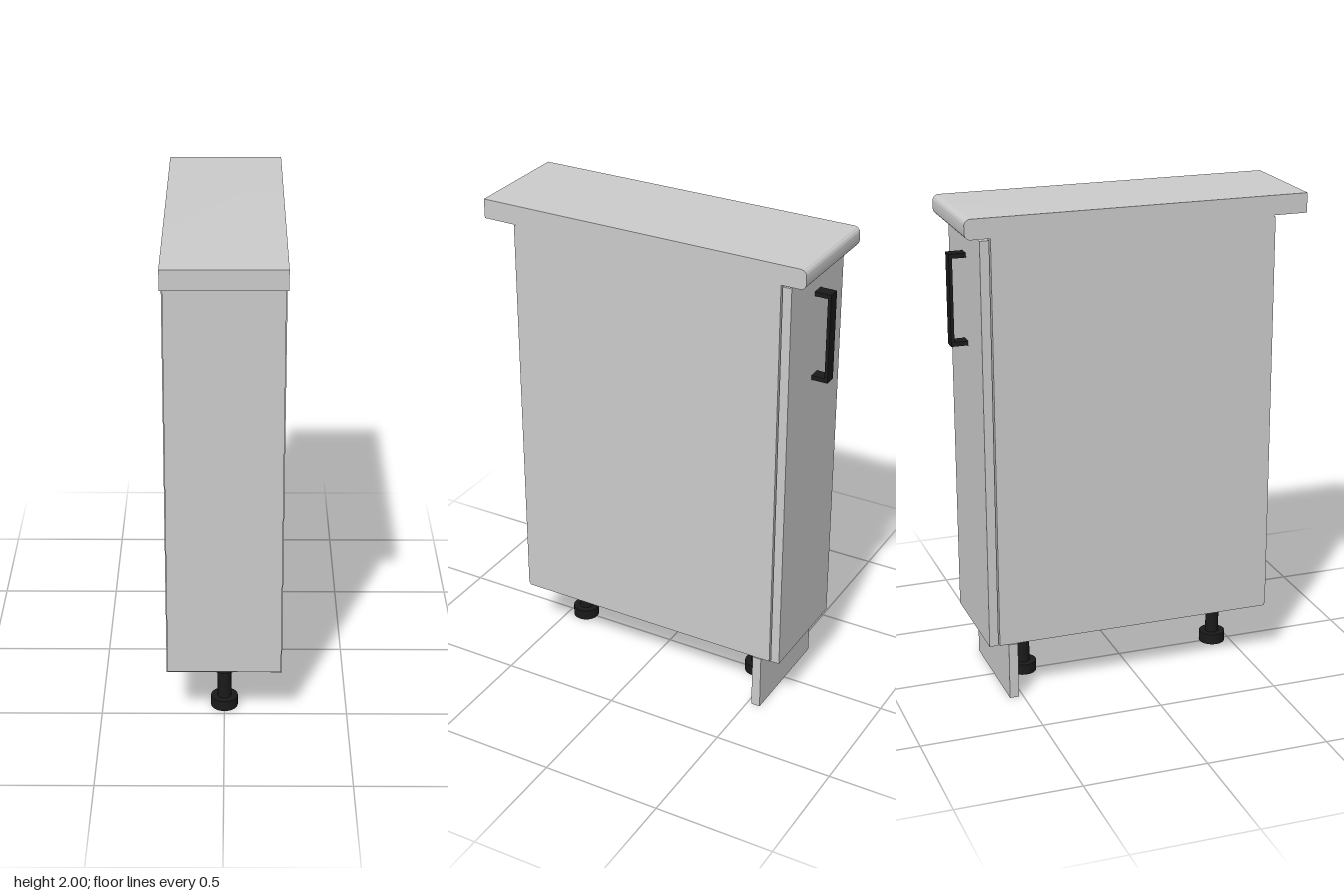
import * as THREE from 'three';
import { toCreasedNormals } from 'three/addons/utils/BufferGeometryUtils.js';

const grey = new THREE.MeshStandardMaterial({ color: 0xcccccc });
const black = new THREE.MeshStandardMaterial({ color: 0x1a1a1a });

// Box given by its limits on each axis
function panel(name, [x0, x1], [y0, y1], [z0, z1], material = grey) {
  const mesh = new THREE.Mesh(new THREE.BoxGeometry(x1 - x0, y1 - y0, z1 - z0), material);
  mesh.position.set((x0 + x1) / 2, (y0 + y1) / 2, (z0 + z1) / 2);
  mesh.name = name;
  return mesh;
}

// Worktop: side profile with a rounded edge over the door
function makeWorktop() {
  const z0 = -0.695, z1 = 0.705, y0 = 1.92, y1 = 2, r = 0.025;
  const s = new THREE.Shape();
  s.moveTo(z1, y0);
  s.lineTo(z1, y1);
  s.lineTo(z0 + r, y1);
  s.absarc(z0 + r, y1 - r, r, Math.PI / 2, Math.PI, false);
  s.lineTo(z0, y0 + r);
  s.absarc(z0 + r, y0 + r, r, Math.PI, Math.PI * 1.5, false);
  const geo = new THREE.ExtrudeGeometry(s, { depth: 0.466, bevelEnabled: false, curveSegments: 8 });
  geo.translate(0, 0, -0.233);
  geo.rotateY(-Math.PI / 2);
  const mesh = new THREE.Mesh(toCreasedNormals(geo, 0.6), grey);
  mesh.name = 'worktop';
  return mesh;
}

// Adjustable leg: foot, stem, collar and mounting flange
function makeLeg(name, z) {
  const profile = [
    [0, 0], [0.055, 0], [0.055, 0.045], [0.028, 0.045], [0.028, 0.18],
    [0.055, 0.18], [0.055, 0.23], [0.07, 0.23], [0.07, 0.24], [0, 0.24],
  ].map(([x, y]) => new THREE.Vector2(x, y));
  const geo = toCreasedNormals(new THREE.LatheGeometry(profile, 32), 0.6);
  const mesh = new THREE.Mesh(geo, black);
  mesh.position.z = z;
  mesh.name = name;
  return mesh;
}

// Bar handle: two posts and a grip
function makeHandle() {
  const group = new THREE.Group();
  group.name = 'handle';
  const x = [-0.025, 0.025];
  group.add(
    panel('handleGrip', x, [1.45, 1.82], [-0.703, -0.69], black),
    panel('handleLowerPost', x, [1.45, 1.468], [-0.69, -0.634], black),
    panel('handleUpperPost', x, [1.802, 1.82], [-0.69, -0.634], black),
  );
  return group;
}

export function createModel() {
  const model = new THREE.Group();
  model.name = 'baseCabinet';

  // Carcass
  const w = 0.231, t = 0.038, depth = [-0.593, 0.565];
  const inner = [-w + t, w - t];
  model.add(
    panel('leftSide', [w - t, w], [0.24, 1.92], depth),
    panel('rightSide', [-w, -w + t], [0.24, 1.92], depth),
    panel('bottom', inner, [0.24, 0.24 + t], depth),
    panel('frontTopRail', inner, [1.92 - t, 1.92], [-0.593, -0.35]),
    panel('backTopRail', inner, [1.92 - t, 1.92], [0.32, 0.565]),
    panel('backPanel', [-0.227, 0.227], [0.247, 1.913], [0.565, 0.573]),
  );

  // Door, plinth and worktop
  model.add(
    panel('door', [-0.227, 0.227], [0.24, 1.912], [-0.635, -0.598]),
    panel('plinth', [-0.233, 0.233], [0, 0.238], [-0.556, -0.518]),
    makeWorktop(),
    makeHandle(),
    makeLeg('rearLeg', 0.427),
    makeLeg('doorSideLeg', -0.43),
  );
  return model;
}
